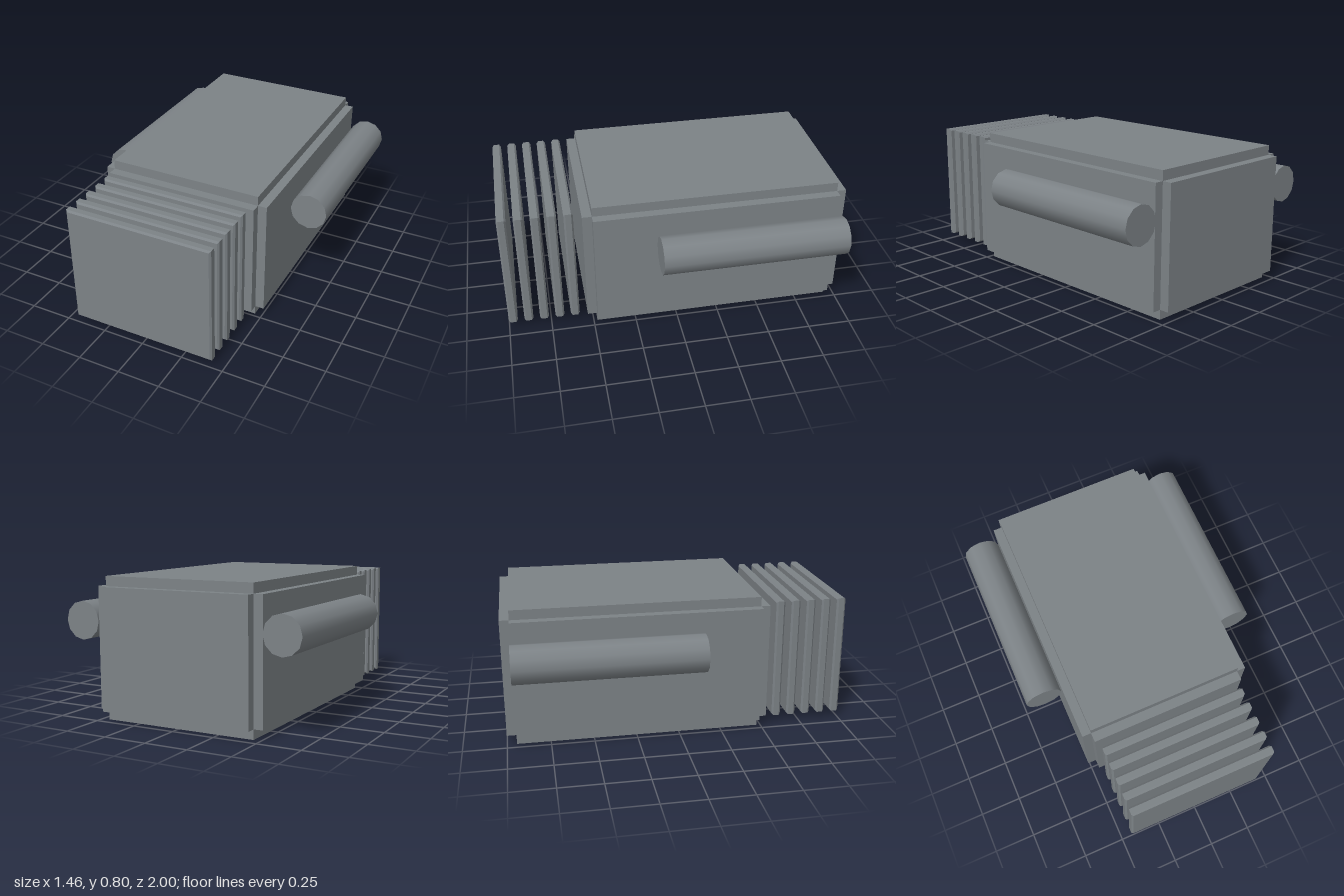
import * as THREE from 'three';

export function createModel() {
  const model = new THREE.Group();
  const material = new THREE.MeshStandardMaterial({ color: 0x7c8286 });

  function add(name, geometry, x, y, z) {
    const mesh = new THREE.Mesh(geometry, material);
    mesh.name = name;
    mesh.position.set(x, y, z);
    model.add(mesh);
  }

  // Housing: three crossed blocks leave a stepped notch along every edge
  const midY = 0.402, midZ = -0.233;
  add('topAndBottomPanels', new THREE.BoxGeometry(0.915, 0.804, 1.424), 0, midY, midZ);
  add('sidePanels', new THREE.BoxGeometry(1.02, 0.692, 1.424), 0, midY, midZ);
  add('frontAndBackPanels', new THREE.BoxGeometry(0.915, 0.692, 1.534), 0, midY, midZ);

  // Side tubes
  const tube = new THREE.CylinderGeometry(0.11, 0.11, 1.07, 12).rotateX(Math.PI / 2);
  add('leftTube', tube, 0.62, 0.55, -0.415);
  add('rightTube', tube, -0.62, 0.55, -0.415);

  // Row of separate front plates with chamfered rims
  const bevel = 0.01, thickness = 0.053, w = 0.425, h = 0.35;
  const outline = new THREE.Shape([
    new THREE.Vector2(-w, -h), new THREE.Vector2(w, -h),
    new THREE.Vector2(w, h), new THREE.Vector2(-w, h),
  ]);
  const plate = new THREE.ExtrudeGeometry(outline, {
    depth: thickness - 2 * bevel, bevelEnabled: true,
    bevelThickness: bevel, bevelSize: bevel, bevelSegments: 1,
  });
  plate.translate(0, 0, bevel - thickness / 2);
  for (let i = 0; i < 5; i++) {
    add('frontPlate' + (i + 1), plate, 0, 0.403, 0.606 + i * 0.0918);
  }

  return model;
}
